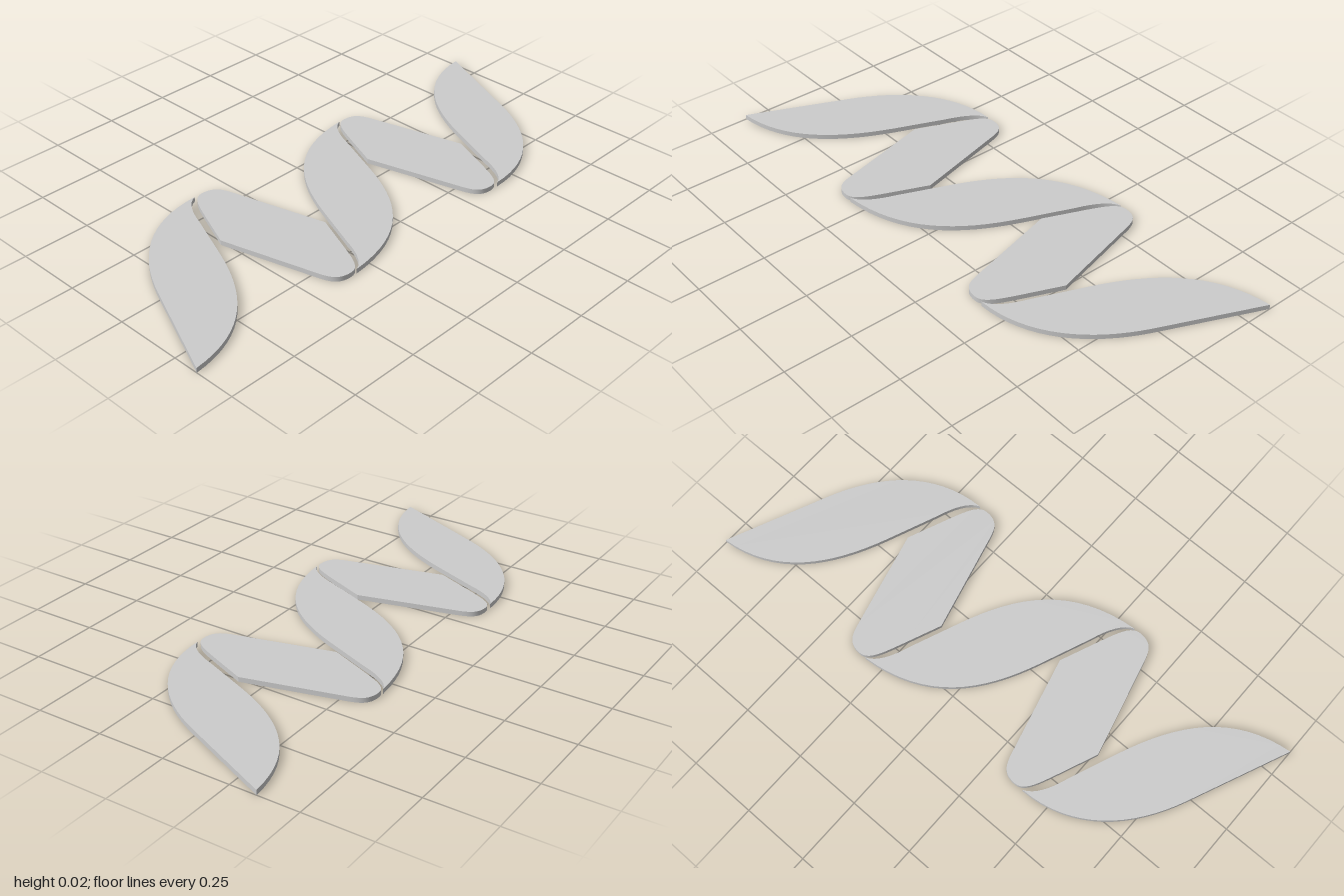
import * as THREE from 'three';
import { toCreasedNormals } from 'three/addons/utils/BufferGeometryUtils.js';

const THICKNESS = 0.018;
const HALF = 0.348; // half the depth of the ribbon

const v = (x, y) => new THREE.Vector2(x, y);
const bezier = (a, b, c, d, n = 16) =>
  new THREE.CubicBezierCurve(v(...a), v(...b), v(...c), v(...d)).getPoints(n);

// Half-turn of an edge about the point (cx, 0)
const turn = (pts, cx) => pts.map((p) => v(2 * cx - p.x, -p.y));

// Edge facing a gap: hooked start, straight run, long sweep to the far tip
const gapEdge = (x, endX) => [
  ...bezier([x, -HALF], [x + 0.04, -0.335], [x + 0.07, -0.28], [x + 0.09, -0.22], 8),
  ...bezier([x + 0.167, -0.03], [x + 0.25, 0.17], [x + 0.37, 0.33], [endX, HALF]),
];

// Free outer edge of the first ribbon end
const outerEdge = [
  v(-1, -HALF),
  ...bezier([-0.84, 0.02], [-0.76, 0.2], [-0.62, HALF], [-0.4, HALF]),
];

// Half of a back strand: tip, rounded shoulder, straight side to the other tip
const backEdge = (cx) => [
  v(cx - 0.158, 0.087),
  ...bezier([cx - 0.103, 0.22], [cx - 0.073, 0.29], [cx - 0.053, HALF], [cx - 0.012, HALF], 10),
  ...bezier([cx - 0.012, HALF], [cx + 0.038, HALF], [cx + 0.053, 0.325], [cx + 0.065, 0.28], 10).slice(1),
];

export function createModel() {
  const group = new THREE.Group();
  const material = new THREE.MeshStandardMaterial({ color: 0xcccccc });

  // Extrude an outline and lay it flat on the ground
  const addPlate = (name, outline) => {
    const pts = outline.filter((p, i) => p.distanceTo(outline[(i + 1) % outline.length]) > 1e-5);
    let geo = new THREE.ExtrudeGeometry(new THREE.Shape(pts), {
      depth: THICKNESS, bevelEnabled: false,
    });
    geo.rotateX(-Math.PI / 2);
    geo = toCreasedNormals(geo, 0.5);
    const mesh = new THREE.Mesh(geo, material);
    mesh.name = name;
    group.add(mesh);
  };

  // Broad front strands: the two ends are half-turns of each other
  const endOutline = [...outerEdge, ...turn(gapEdge(0.4, 1), 0)];
  addPlate('rightEndStrand', endOutline);
  addPlate('leftEndStrand', turn(endOutline, 0));
  const middle = gapEdge(-0.32, 0.32);
  addPlate('middleStrand', [...middle, ...turn(middle, 0)]);

  // Narrow strands crossing behind
  [['rightBackStrand', -0.356], ['leftBackStrand', 0.356]].forEach(([name, cx]) => {
    const edge = backEdge(cx);
    addPlate(name, [...edge, ...turn(edge, cx)]);
  });

  return group;
}
